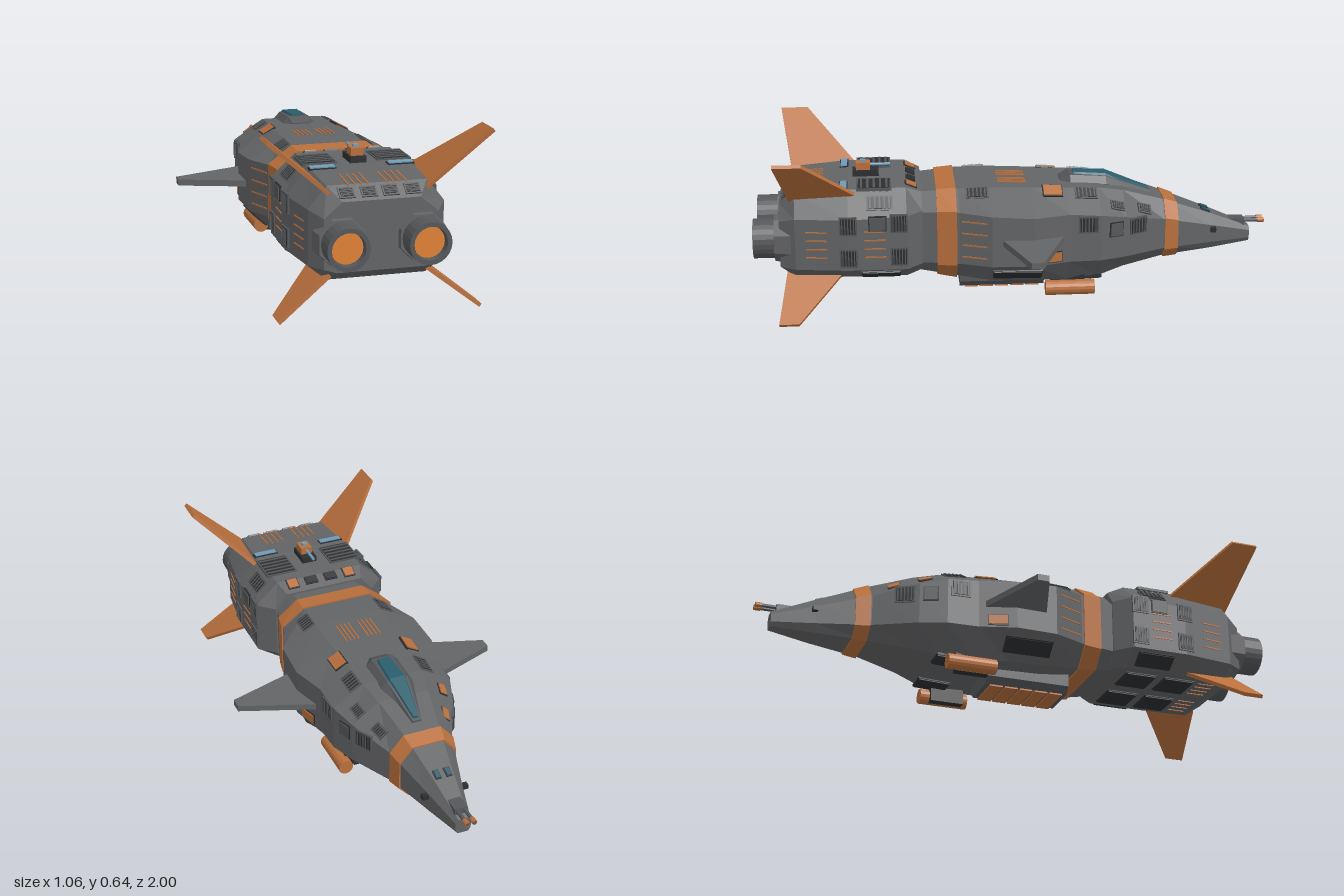
import * as THREE from 'three';

const paint = (color) => new THREE.MeshStandardMaterial({ color, flatShading: true });
const HULL = paint(0x636466), PLATE = paint(0x55575a), DARK = paint(0x2c2e30), ORANGE = paint(0xb86f3c);
const GLOW = paint(0xe08236), GLASS = paint(0x2a5d6c), BLUE = paint(0x6f9db8);
const NOZZLE = paint(0x55575a);
NOZZLE.side = THREE.DoubleSide;
const UNIT = new THREE.BoxGeometry(1, 1, 1);

// Hull stations: z, top half width, top y, side half width, shoulder y, bottom half width, bottom y
const withChine = ([z, tw, yt, w, ys, bw, yb]) => [z, tw, yt, w, ys, 0.18, bw, yb];
const FRONT = [
  [-0.94, 0.02, 0.225, 0.03, 0.21, 0.02, 0.165],
  [-0.78, 0.04, 0.29, 0.07, 0.25, 0.05, 0.15],
  [-0.58, 0.07, 0.365, 0.125, 0.30, 0.08, 0.135],
  [-0.42, 0.10, 0.415, 0.205, 0.34, 0.12, 0.11],
  [-0.32, 0.12, 0.435, 0.24, 0.36, 0.15, 0.085],
  [-0.20, 0.13, 0.44, 0.245, 0.37, 0.17, 0.08],
  [-0.06, 0.135, 0.447, 0.285, 0.37, 0.18, 0.085],
  [0.10, 0.14, 0.453, 0.28, 0.38, 0.18, 0.09],
  [0.22, 0.14, 0.452, 0.232, 0.385, 0.16, 0.105],
  [0.38, 0.13, 0.44, 0.20, 0.38, 0.14, 0.13],
].map(withChine);
const REAR = [
  [0.36, 0.16, 0.45, 0.21, 0.39, 0.15, 0.135],
  [0.42, 0.18, 0.475, 0.272, 0.39, 0.19, 0.125],
  [0.64, 0.19, 0.475, 0.272, 0.38, 0.19, 0.125],
  [0.84, 0.18, 0.46, 0.245, 0.38, 0.18, 0.125],
  [0.90, 0.14, 0.415, 0.205, 0.36, 0.16, 0.165],
].map(withChine);

function station(rows, z) {
  let i = 0;
  while (i < rows.length - 2 && z > rows[i + 1][0]) i++;
  const t = (z - rows[i][0]) / (rows[i + 1][0] - rows[i][0]);
  return rows[i].map((v, k) => v + (rows[i + 1][k] - v) * t);
}

// Skin an eight-sided body through its stations and cap both ends
function loft(rows) {
  const pos = [];
  const rings = rows.map(([z, tw, yt, w, ys, yl, bw, yb]) =>
    [[tw, yt], [-tw, yt], [-w, ys], [-w, yl], [-bw, yb], [bw, yb], [w, yl], [w, ys]].map(([x, y]) => [x, y, z]));
  const tri = (...p) => p.forEach((v) => pos.push(...v));
  for (let i = 0; i < rings.length - 1; i++) {
    for (let k = 0; k < 8; k++) {
      const n = (k + 1) % 8, a = rings[i], b = rings[i + 1];
      tri(a[k], a[n], b[n]);
      tri(a[k], b[n], b[k]);
    }
  }
  const first = rings[0], last = rings[rings.length - 1];
  for (let k = 1; k < 7; k++) {
    tri(last[0], last[k], last[k + 1]);
    tri(first[0], first[k + 1], first[k]);
  }
  const g = new THREE.BufferGeometry();
  g.setAttribute('position', new THREE.Float32BufferAttribute(pos, 3));
  g.computeVertexNormals();
  return g;
}

function add(parent, name, geometry, material, x = 0, y = 0, z = 0) {
  const m = new THREE.Mesh(geometry, material);
  m.name = name;
  m.position.set(x, y, z);
  parent.add(m);
  return m;
}
function box(parent, name, mat, w, h, d, x = 0, y = 0, z = 0) {
  add(parent, name, UNIT, mat, x, y, z).scale.set(w, h, d);
}
function rod(parent, name, mat, r1, r2, len, x, y, z, sides) {
  const g = new THREE.CylinderGeometry(r1, r2, len, sides).rotateX(Math.PI / 2);
  if (sides === 8) g.rotateZ(Math.PI / 8);
  add(parent, name, g, mat, x, y, z);
}

// A raised band that hugs the hull between two stations
function band(parent, z0, z1, grow) {
  const rows = [z0, z1].map((z) => station(FRONT, z).map((v, k) =>
    k === 0 ? v : v + ([5, 7].includes(k) ? -grow : grow)));
  add(parent, 'orangeBand', loft(rows), ORANGE);
}

// Cockpit shell along a spine of z, half width, top y
const canopy = (spine) => loft(spine.map(([z, w, y]) => [z, w * 0.65, y, w, y - 0.025, y - 0.05, w, y - 0.06]));

// Frame lying on a hull face (0 top, 1 shoulder, 2 side, 3 chine, 4 bottom), u runs along the face
function mount(parent, name, rows, face, u, z, side) {
  const at = (uu, zz) => {
    const [, tw, yt, w, ys, yl, bw, yb] = station(rows, zz);
    const pts = [[0, yt], [tw, yt], [w, ys], [w, yl], [bw, yb], [0, yb]];
    const [a, b] = [pts[face], pts[face + 1]];
    return new THREE.Vector3(a[0] + (b[0] - a[0]) * uu, a[1] + (b[1] - a[1]) * uu, zz);
  };
  const p = at(u, z);
  const X = at(u + 0.01, z).sub(at(u - 0.01, z)).normalize();
  const N = at(u, z + 0.004).sub(at(u, z - 0.004)).cross(X).normalize();
  for (const v of [p, X, N]) v.x *= side;
  const g = new THREE.Group();
  g.name = name;
  g.applyMatrix4(new THREE.Matrix4().makeBasis(X, N, X.clone().cross(N)).setPosition(p));
  parent.add(g);
  return g;
}
const fittings = {
  hatch(g, w, d, mat) {
    box(g, 'frame', DARK, w + 0.008, 0.008, d + 0.008);
    box(g, 'cover', mat, w, 0.016, d);
  },
  vent(g, w, d) {
    box(g, 'frame', PLATE, w + 0.012, 0.01, d + 0.012);
    box(g, 'grille', DARK, w, 0.014, d);
    for (let i = 0; i < 5; i++) box(g, 'slat', PLATE, w, 0.018, d * 0.07, 0, 0, d * ((i + 0.5) / 5 - 0.5));
  },
  slits(g, w, d) {
    for (let i = 0; i < 4; i++) box(g, 'slit', ORANGE, 0.005, 0.006, d, w * (i / 3 - 0.5));
  },
};

// Thin fin: outline in (span, z), root at (x, y), leaning along (dx, dy)
function fin(parent, name, mat, outline, t, x, y, dx, dy, side) {
  const g = new THREE.ExtrudeGeometry(new THREE.Shape(outline.map((p) => new THREE.Vector2(...p))),
    { depth: t, bevelEnabled: false }).translate(0, 0, -t / 2);
  const X = new THREE.Vector3(dx * side, dy, 0).normalize(), Y = new THREE.Vector3(0, 0, 1);
  add(parent, name, g, mat)
    .applyMatrix4(new THREE.Matrix4().makeBasis(X, Y, X.clone().cross(Y)).setPosition(x * side, y, 0));
}

// Hatches, vents and slits on one side of the hull
function fitOut(ship, s) {
  const put = (kind, rows, face, u, z, w, d, mat) => fittings[kind](mount(ship, kind, rows, face, u, z, s), w, d, mat);
  // Front hull
  put('hatch', FRONT, 0, 0.5, -0.76, 0.015, 0.03, GLASS);
  put('slits', FRONT, 0, 0.33, 0.01, 0.05, 0.11);
  put('hatch', FRONT, 1, 0.12, -0.14, 0.05, 0.07, ORANGE);
  for (const z of [-0.27, 0.15]) put('vent', FRONT, 1, 0.2, z, 0.045, 0.075);
  for (const z of [-0.5, -0.39]) put(s < 0 ? 'hatch' : 'vent', FRONT, 1, 0.6, z, 0.03, 0.045, ORANGE);
  for (const z of [-0.47, -0.27]) put('vent', FRONT, 2, 0.2, z, 0.055, 0.065);
  put('hatch', FRONT, 2, 0.3, -0.38, 0.05, 0.05, PLATE);
  put('hatch', FRONT, 2, 0.85, -0.13, 0.035, 0.07, ORANGE);
  put('slits', FRONT, 2, 0.5, 0.165, 0.14, 0.1);
  put('hatch', FRONT, 3, 0.5, 0, 0.06, 0.18, DARK);
  put('hatch', FRONT, 4, 0.25, -0.27, 0.08, 0.12, DARK);
  // Rear hull
  put('hatch', REAR, 0, 0.7, 0.4, 0.04, 0.04, ORANGE);
  put('hatch', REAR, 0, 0.24, 0.4, 0.045, 0.03, DARK);
  put('vent', REAR, 0, 0.74, 0.54, 0.115, 0.12);
  put('hatch', REAR, 0, 0.76, 0.655, 0.09, 0.025, BLUE);
  put('slits', REAR, 0, 0.38, 0.79, 0.07, 0.11);
  for (const u of [0.24, 0.74]) put('vent', REAR, 0, u, 0.87, 0.045, 0.035);
  put('vent', REAR, 1, 0.5, 0.52, 0.05, 0.09);
  for (const u of [0.12, 0.75]) for (const z of [0.45, 0.64]) put('vent', REAR, 2, u, z, 0.06, 0.055);
  put('hatch', REAR, 2, 0.1, 0.53, 0.05, 0.06, PLATE);
  for (const z of [0.54, 0.76]) put('slits', REAR, 2, 0.5, z, 0.1, 0.08);
  put('hatch', REAR, 3, 0.5, 0.52, 0.06, 0.14, DARK);
  for (const z of [0.5, 0.66]) put('hatch', REAR, 4, 0.5, z, 0.12, 0.12, DARK);
  put('slits', REAR, 4, 0.5, 0.78, 0.1, 0.07);
}

export function createModel() {
  const ship = new THREE.Group();
  ship.name = 'spaceship';
  add(ship, 'frontHull', loft(FRONT), HULL);
  add(ship, 'rearHull', loft(REAR), HULL);
  band(ship, 0.23, 0.305, 0.006);
  band(ship, -0.64, -0.585, 0.005);
  add(ship, 'canopyFrame', canopy([[-0.54, 0.025, 0.385], [-0.36, 0.065, 0.455], [-0.22, 0.065, 0.464], [-0.18, 0.05, 0.445]]), PLATE);
  add(ship, 'canopyGlass', canopy([[-0.53, 0.014, 0.397], [-0.36, 0.046, 0.463], [-0.235, 0.036, 0.47]]), GLASS);

  const bell = [[0.07, 0.9], [0.076, 0.91], [0.076, 1], [0.06, 1], [0.056, 0.965]].map((p) => new THREE.Vector2(...p));
  for (const s of [1, -1]) {
    fitOut(ship, s);
    // Engines
    const x = s * 0.145, y = 0.275;
    rod(ship, 'engineHousing', HULL, 0.088, 0.1, 0.09, x, y, 0.875, 8);
    add(ship, 'engineNozzle', new THREE.LatheGeometry(bell, 24).rotateX(Math.PI / 2), NOZZLE, x, y);
    rod(ship, 'engineGlow', GLOW, 0.06, 0.06, 0.04, x, y, 0.955, 24);

    // Tail fins and side wings
    fin(ship, 'upperFin', ORANGE, [[0, 0.58], [0.308, 0.8], [0.308, 0.905], [0, 0.86]], 0.014, 0.17, 0.43, 0.23, 0.205, s);
    fin(ship, 'lowerFin', ORANGE, [[0, 0.65], [0.24, 0.83], [0.24, 0.905], [0, 0.875]], 0.014, 0.175, 0.15, 0.195, -0.15, s);
    fin(ship, 'sideWing', HULL, [[0, -0.18], [0.05, -0.16], [0.29, -0.07], [0.29, -0.025], [0.05, 0.055], [0, 0.07]],
      0.024, 0.24, 0.274, 1, 0, s);

    // Underslung pods
    rod(ship, 'pod', ORANGE, 0.029, 0.029, 0.19, s * 0.182, 0.052, -0.207, 16);
    box(ship, 'podPylon', DARK, 0.035, 0.08, 0.13, s * 0.155, 0.064, -0.2);

    // Nose guns and sensors
    rod(ship, 'gunBarrel', PLATE, 0.007, 0.007, 0.12, s * 0.014, 0.248, -0.94, 8);
    rod(ship, 'gunMuzzle', ORANGE, 0.01, 0.01, 0.025, s * 0.014, 0.248, -0.987, 8);
    box(ship, 'noseSensor', DARK, 0.03, 0.018, 0.02, s * 0.075, 0.235, -0.785);
  }
  box(ship, 'gunMount', PLATE, 0.05, 0.03, 0.06, 0, 0.243, -0.89);

  // Belly bay
  const bay = new THREE.Shape([[-0.075, 0.03], [0.075, 0.03], [0.098, 0.055], [0.098, 0.12], [-0.098, 0.12], [-0.098, 0.055]]
    .map((p) => new THREE.Vector2(...p)));
  add(ship, 'bellyBay', new THREE.ExtrudeGeometry(bay, { depth: 0.33, bevelEnabled: false }), PLATE, 0, 0, -0.115);
  for (let i = 0; i < 5; i++) box(ship, 'bayDoor', ORANGE, 0.15, 0.01, 0.052, 0, 0.029, -0.07 + i * 0.06);

  // Top turret
  box(ship, 'turretBase', DARK, 0.06, 0.025, 0.1, 0, 0.485, 0.57);
  box(ship, 'turretHead', ORANGE, 0.046, 0.028, 0.055, 0, 0.512, 0.58);
  box(ship, 'turretSight', BLUE, 0.018, 0.01, 0.02, 0, 0.53, 0.58);
  rod(ship, 'turretBarrel', BLUE, 0.006, 0.006, 0.09, 0, 0.514, 0.52, 8);
  return ship;
}
